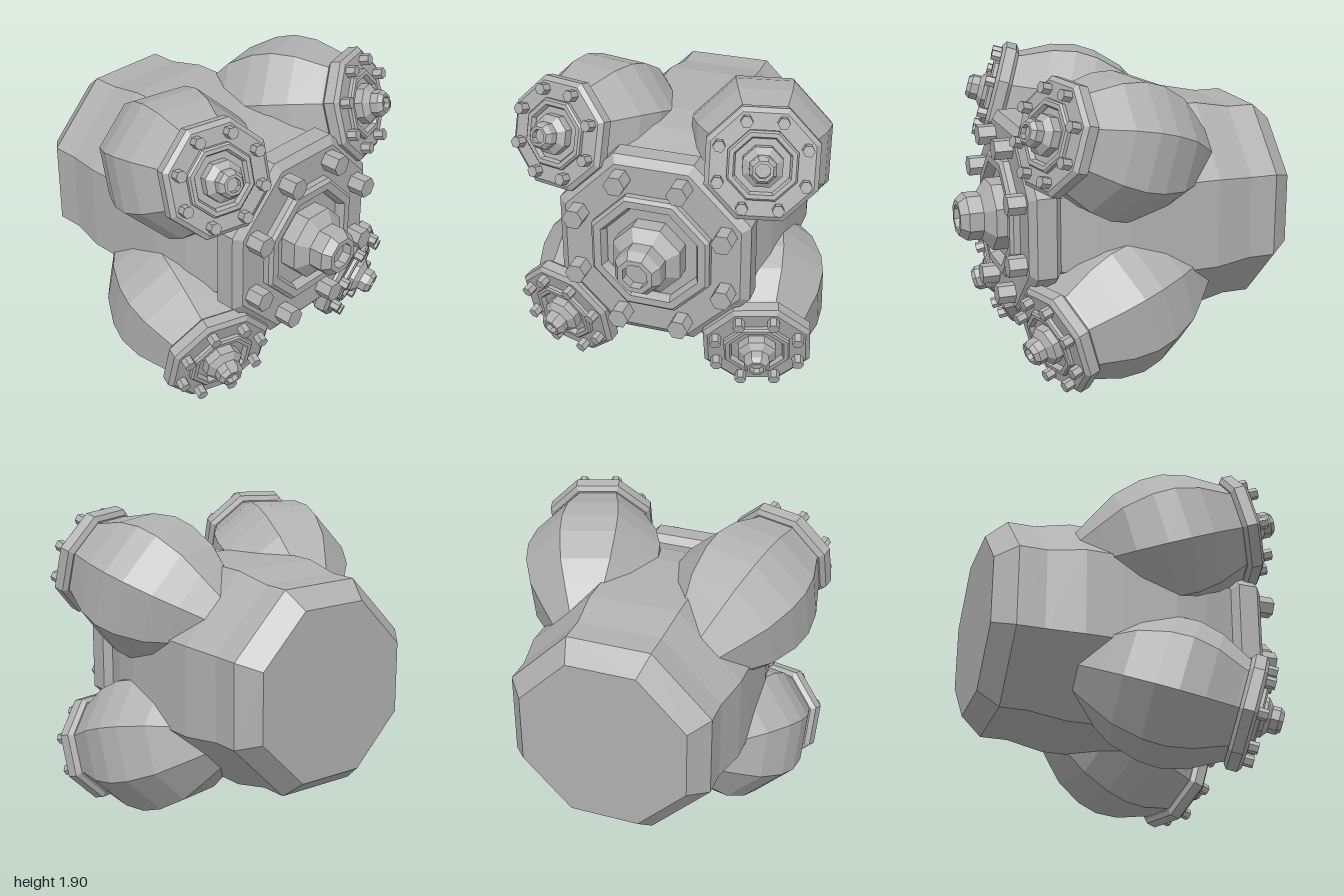
import * as THREE from 'three';

const metal = new THREE.MeshStandardMaterial({ color: 0xb0b0b0, flatShading: true });
metal.name = 'grey metal';

// Octagonal turned part along +x; profile is [x, distance from axis to flat], back to front
function octagon(name, profile) {
  const points = profile.map(([x, r]) => new THREE.Vector2(r / Math.cos(Math.PI / 8), x));
  const geometry = new THREE.LatheGeometry(points, 8, Math.PI / 8);
  geometry.rotateZ(-Math.PI / 2);
  const mesh = new THREE.Mesh(geometry, metal);
  mesh.name = name;
  return mesh;
}

// Bolted end cap; the front face of its flange lies at x = 0
function createCap() {
  const cap = new THREE.Group();
  cap.name = 'boltedCap';
  cap.add(octagon('flange', [
    [-0.2, 0], [-0.2, 0.55], [-0.16, 0.6], [-0.04, 0.6], [0, 0.55], [0, 0],
  ]));
  cap.add(octagon('raisedRing', [
    [-0.01, 0.37], [0.04, 0.37], [0.06, 0.35], [0.06, 0.305], [0.02, 0.285], [-0.01, 0.285],
  ]));
  cap.add(octagon('nozzle', [
    [-0.01, 0.21], [0.1, 0.21], [0.16, 0.14], [0.25, 0.14],
    [0.3, 0.105], [0.3, 0.075], [0.24, 0.075], [0.24, 0],
  ]));

  // Hexagonal bolts opposite the flange corners
  const boltGeometry = new THREE.CylinderGeometry(0.066, 0.066, 0.12, 6);
  boltGeometry.rotateZ(-Math.PI / 2);
  for (let i = 0; i < 8; i++) {
    const angle = Math.PI / 8 + (i * Math.PI) / 4;
    const bolt = new THREE.Mesh(boltGeometry, metal);
    bolt.name = 'bolt';
    bolt.position.set(0.05, 0.5 * Math.sin(angle), 0.5 * Math.cos(angle));
    cap.add(bolt);
  }
  return cap;
}

// Barrel-shaped side pod with a smaller cap
function createPod() {
  const pod = new THREE.Group();
  pod.name = 'pod';
  pod.add(octagon('podBody', [
    [-1.15, 0], [-1.15, 0.15], [-1.07, 0.2], [-0.93, 0.285], [-0.79, 0.365],
    [-0.6, 0.415], [-0.46, 0.42], [-0.307, 0.384], [-0.13, 0.298], [-0.08, 0.28], [-0.08, 0],
  ]));
  const cap = createCap();
  cap.scale.setScalar(0.545);
  pod.add(cap);
  return pod;
}

export function createModel() {
  const model = new THREE.Group();
  model.name = 'clusteredVessel';
  const core = new THREE.Group();
  core.name = 'core';
  core.position.y = 0.945;
  model.add(core);

  // Central body and its cap
  core.add(octagon('mainBody', [
    [-1, 0], [-1, 0.52], [-0.87, 0.625], [-0.7, 0.625], [-0.47, 0.67], [-0.25, 0.67],
    [0.1, 0.665], [0.3, 0.63], [0.44, 0.575], [0.54, 0.54], [0.54, 0],
  ]));
  const mainCap = createCap();
  mainCap.position.x = 0.7;
  core.add(mainCap);

  // Four pods splayed outward on the diagonals
  const tilt = Math.PI / 8;
  const side = Math.sin(tilt) / Math.SQRT2;
  const forward = new THREE.Vector3(1, 0, 0);
  for (const sy of [-1, 1]) {
    for (const sz of [-1, 1]) {
      const pod = createPod();
      pod.position.set(0.595, sy * 0.635, sz * 0.635);
      pod.quaternion.setFromUnitVectors(
        forward, new THREE.Vector3(Math.cos(tilt), sy * side, sz * side));
      core.add(pod);
    }
  }
  return model;
}
